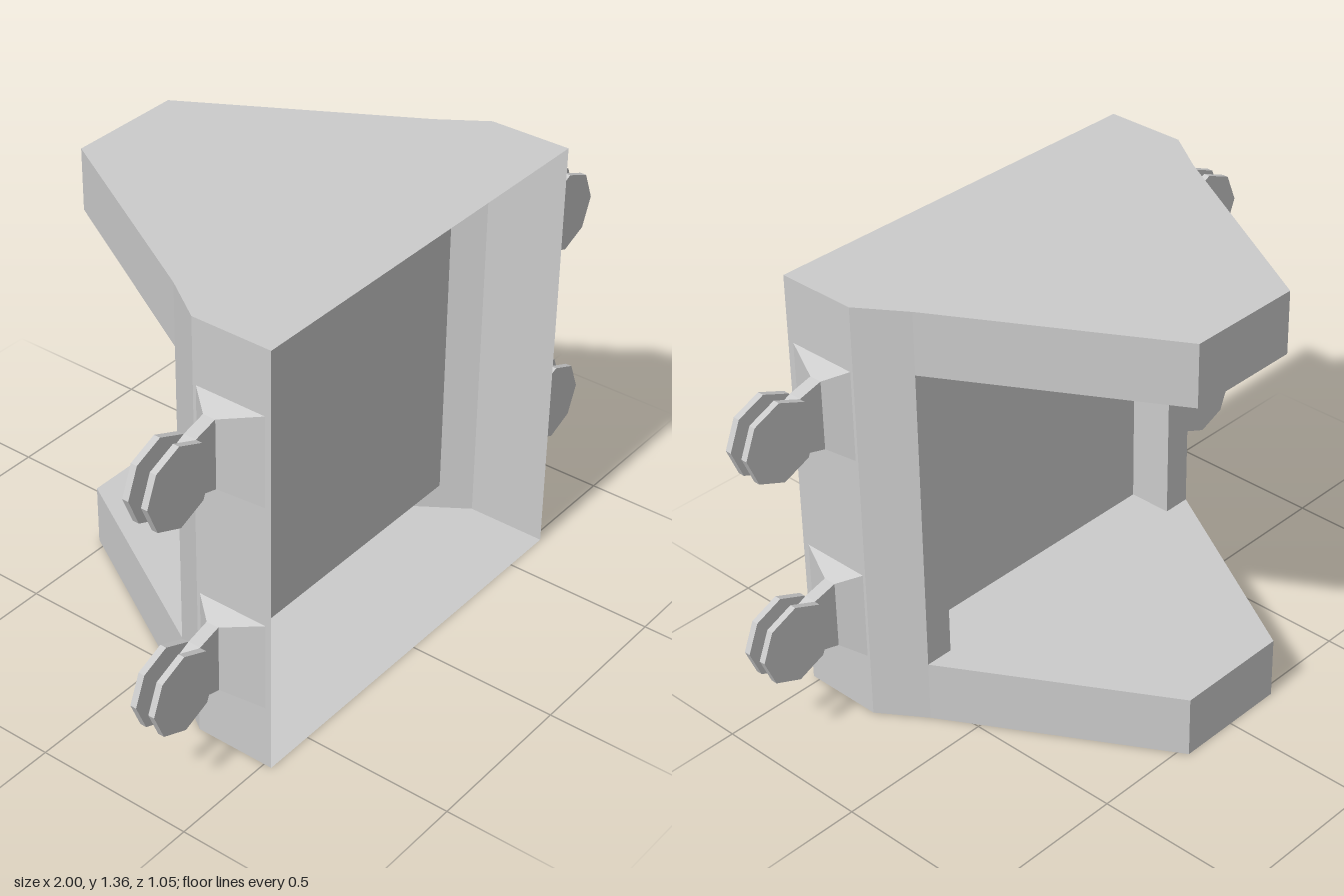
import * as THREE from 'three';

const material = new THREE.MeshStandardMaterial({ color: 0xcccccc, flatShading: true, side: THREE.DoubleSide });

const H = 1.36, LOW = 0.195, HIGH = 1.165;

function addMesh(parent, name, geometry) {
  const mesh = new THREE.Mesh(geometry, material);
  mesh.name = name;
  parent.add(mesh);
  return mesh;
}

// Geometry from a list of quads, each with four [x, y, z] corners
function quads(list, flip = false) {
  const pos = [];
  for (const [a, b, c, d] of list) {
    const tris = flip ? [a, c, b, a, d, c] : [a, b, c, a, c, d];
    tris.forEach((p) => pos.push(...p));
  }
  const g = new THREE.BufferGeometry();
  g.setAttribute('position', new THREE.Float32BufferAttribute(pos, 3));
  g.computeVertexNormals();
  return g;
}

// Upright wall along an [x, z] path
function wall(path, y0, y1) {
  return quads(path.slice(1).map((q, i) => {
    const p = path[i];
    return [[p[0], y0, p[1]], [q[0], y0, q[1]], [q[0], y1, q[1]], [p[0], y1, p[1]]];
  }));
}

// Level plate with an [x, z] outline, facing up or down
function plate(outline, y, up) {
  const k = up ? -1 : 1;
  const shape = new THREE.Shape(outline.map(([x, z]) => new THREE.Vector2(x, z * k)));
  return new THREE.ShapeGeometry(shape).rotateX(k * Math.PI / 2).translate(0, y, 0);
}

// Complete a half path with its mirror image in x
const mirrored = (half) => [...half, ...half.map(([x, z]) => [-x, z]).reverse()];

// Flared arm lofted through rectangular sections, on side s
function armGeometry(s) {
  const sections = [ // x, half height, z back, z front
    [0.66, 0.142, 0.28, 0.505],
    [0.71, 0.108, 0.345, 0.385],
    [0.785, 0.088, 0.345, 0.385],
    [0.915, 0.027, 0.345, 0.385],
  ].map(([x, h, z0, z1]) => [[s * x, -h, z1], [s * x, -h, z0], [s * x, h, z0], [s * x, h, z1]]);
  const list = [];
  for (let i = 0; i < sections.length - 1; i++) {
    const a = sections[i], b = sections[i + 1];
    for (let j = 0; j < 4; j++) {
      const k = (j + 1) % 4;
      list.push([a[j], a[k], b[k], b[j]]);
    }
  }
  list.push(sections[sections.length - 1]);
  return quads(list, s < 0);
}

export function createModel() {
  const model = new THREE.Group();
  model.name = 'bracketShell';

  const body = new THREE.Group();
  body.name = 'body';
  model.add(body);

  // Hollow shell, open at the front
  const sidePath = [[0.66, 0.525], [0.66, 0.27], [0.565, 0.13]];
  const outline = mirrored([...sidePath, [0.185, -0.53]]);
  addMesh(body, 'roof', plate(outline, H, true));
  addMesh(body, 'floor', plate(outline, 0, false));
  addMesh(body, 'leftSideWall', wall(sidePath, 0, H));
  addMesh(body, 'rightSideWall', wall(mirrored(sidePath).slice(3), 0, H));

  // Rims of the two rearward jaws
  const rim = mirrored([[0.565, 0.13], [0.185, -0.53]]);
  addMesh(body, 'upperJawRim', wall(rim, HIGH, H));
  addMesh(body, 'lowerJawRim', wall(rim, 0, LOW));

  // Recessed back panel and the inner faces of the jaws
  const recess = mirrored([[0.565, 0.13], [0.475, 0.13], [0.475, 0.27]]);
  addMesh(body, 'recessedPanel', wall(recess, LOW, HIGH));
  const jaw = mirrored([[0.475, 0.27], [0.475, 0.13], [0.565, 0.13], [0.185, -0.53]]);
  addMesh(body, 'upperJawInnerFace', plate(jaw, HIGH, false));
  addMesh(body, 'lowerJawInnerFace', plate(jaw, LOW, true));

  // Four side connectors: a flared arm between two octagonal discs
  for (const s of [1, -1]) {
    for (const y of [0.345, 1.015]) {
      const connector = new THREE.Group();
      connector.name = (y > 0.7 ? 'upper' : 'lower') + (s > 0 ? 'Left' : 'Right') + 'Connector';
      connector.position.y = y;
      addMesh(connector, 'arm', armGeometry(s));
      for (const z of [0.335, 0.397]) {
        const disc = new THREE.CylinderGeometry(0.125, 0.125, 0.02, 8).rotateX(Math.PI / 2);
        addMesh(connector, 'disc', disc).position.set(s * 0.875, 0, z);
      }
      model.add(connector);
    }
  }
  return model;
}
